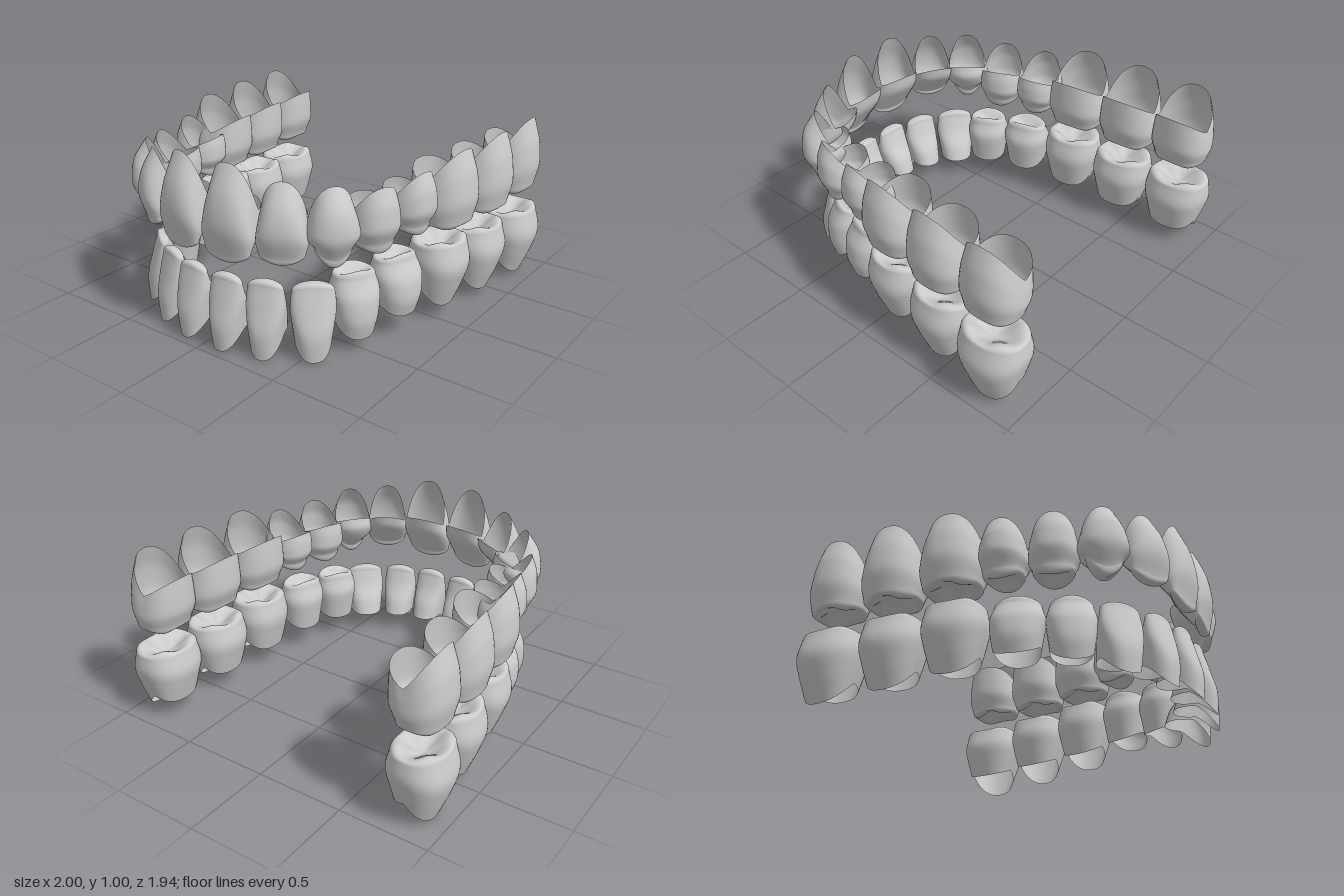
import * as THREE from 'three';
import { mergeVertices } from 'three/addons/utils/BufferGeometryUtils.js';

const SEG = 48, WALL = 16, CAP = 12;

// Crown kinds. rows run from rim to biting edge: [half width, outer reach, inner reach] as factors.
// round: edge rounding, cusp: cusp height, n: cusp count, fossa: central dip, point: corner lift, rise: total cap height
const KINDS = {
  upperIncisor: { rows: [[.86, .32, 1], [.96, .85, .85], [1, 1, .35], [.9, .72, -.2]],
    round: .035, cusp: 0, n: 2, fossa: 0, point: .025, rise: .035, p: .86 },
  upperCanine: { rows: [[.82, .35, .92], [.96, .9, 1], [1, 1, .7], [.72, .6, .1]],
    round: .05, cusp: 0, n: 2, fossa: 0, point: .06, rise: .05, p: .92 },
  upperPremolar: { rows: [[.9, .7, .92], [.98, .95, 1], [1, 1, 1], [.84, .72, .72]],
    round: .06, cusp: .014, n: 2, fossa: .06, point: .01, rise: .055, p: .9 },
  upperMolar: { rows: [[.9, .68, .97], [.97, .92, 1], [1, 1, 1], [.9, .85, .78]],
    round: .05, cusp: .011, n: 4, fossa: .08, point: 0, rise: .04, p: .88 },
  lowerIncisor: { rows: [[.84, .92, 1], [.93, .97, .75], [1, .75, .3], [.92, .48, .02]],
    round: .03, cusp: 0, n: 2, fossa: 0, point: .012, rise: .03, p: .86 },
  lowerPremolar: { rows: [[.84, .8, .78], [.93, 1, .9], [1, .95, 1], [.87, .58, .78]],
    round: .05, cusp: .012, n: 2, fossa: .06, point: 0, rise: .045, p: .88 },
  lowerMolar: { rows: [[.76, .5, .72], [.9, .8, .88], [1, 1, 1], [.94, .84, .86]],
    round: .045, cusp: .011, n: 4, fossa: .08, point: 0, rise: .036, p: .86 },
};

// [name, kind, x, z, yaw in degrees, width, depth, tip y, rim y outer, rim y inner, rim y between teeth]
const UPPER = [
  ['CentralIncisor', 'upperIncisor', .148, .855, 7, .29, .23, .5, 1, .8, .76],
  ['LateralIncisor', 'upperIncisor', .4, .78, 30, .255, .25, .53, .94, .79, .74],
  ['Canine', 'upperCanine', .585, .645, 50, .265, .27, .51, .92, .78, .74],
  ['FirstPremolar', 'upperPremolar', .665, .42, 68, .26, .28, .53, .88, .79, .74],
  ['SecondPremolar', 'upperPremolar', .715, .165, 80, .26, .29, .55, .89, .8, .75],
  ['FirstMolar', 'upperMolar', .775, -.095, 84, .35, .335, .53, .95, .85, .77],
  ['SecondMolar', 'upperMolar', .81, -.435, 87, .35, .33, .52, .96, .85, .77],
  ['ThirdMolar', 'upperMolar', .825, -.775, 90, .34, .31, .53, .96, .85, .77],
];
const LOWER = [
  ['CentralIncisor', 'lowerIncisor', .11, .845, 4, .2, .25, .41, .01, .12, .12],
  ['LateralIncisor', 'lowerIncisor', .305, .79, 18, .205, .25, .41, .005, .12, .12],
  ['Canine', 'lowerIncisor', .495, .675, 40, .23, .26, .41, .01, .12, .12],
  ['FirstPremolar', 'lowerPremolar', .61, .485, 60, .255, .25, .44, .08, .13, .16],
  ['SecondPremolar', 'lowerPremolar', .69, .23, 75, .28, .26, .46, .13, .14, .19],
  ['FirstMolar', 'lowerMolar', .765, -.08, 83, .34, .31, .46, .07, .12, .17],
  ['SecondMolar', 'lowerMolar', .8, -.425, 86, .35, .32, .44, .04, .11, .15],
  ['ThirdMolar', 'lowerMolar', .835, -.785, 90, .37, .33, .43, .02, .1, .14],
];

const spow = (v, p) => Math.sign(v) * Math.abs(v) ** p;

// Hollow crown: wall rings from the scalloped open rim, then shrinking rings over the biting surface
function crownGeometry(k, width, depth, tip, rimOut, rimIn, rimSide, dir) {
  const profile = new THREE.CatmullRomCurve3(k.rows.map(r => new THREE.Vector3(...r)));
  const pos = [], index = [];
  const rows = WALL + CAP;
  for (let j = 0; j <= rows; j++) {
    const u = Math.min(j / WALL, 1);
    const f = profile.getPoint(u);
    const phi = Math.max(0, j - WALL) / CAP * Math.PI / 2;
    const s = j === rows ? 0 : Math.cos(phi) ** .8;
    const mid = (f.y - f.z) / 2, half = (f.y + f.z) / 2;
    for (let i = 0; i < SEG; i++) {
      const a = i / SEG * Math.PI * 2, c = Math.cos(a), sn = Math.sin(a);
      const rim = rimSide + ((sn > 0 ? rimOut : rimIn) - rimSide) * Math.abs(sn) ** 1.05;
      const surface = k.round * Math.sqrt(1 - s ** 4) - k.fossa * (1 - s * s) ** 2
        - 4 * k.cusp * s * s * (1 - s * s) * Math.cos(k.n * a) - k.point * c * c * s;
      const edge = tip + dir * (surface - k.rise);
      pos.push(width / 2 * f.x * s * spow(c, k.p),
        rim + (edge - rim) * u,
        depth / 2 * (mid + half * s * spow(sn, k.p)));
      if (j < rows) {
        const n = (i + 1) % SEG;
        const p = j * SEG + i, q = j * SEG + n, r = p + SEG, t = q + SEG;
        if (dir > 0) index.push(p, r, q, q, r, t);
        else index.push(p, q, r, q, t, r);
      }
    }
  }
  let geo = new THREE.BufferGeometry();
  geo.setAttribute('position', new THREE.Float32BufferAttribute(pos, 3));
  geo.setIndex(index);
  geo = mergeVertices(geo, 1e-5);
  geo.computeVertexNormals();
  return geo;
}

// One arch of teeth, mirrored left and right
function buildArch(name, teeth, dir, material) {
  const arch = new THREE.Group();
  arch.name = name + 'Arch';
  for (const [tooth, kind, x, z, yaw, ...size] of teeth) {
    const geo = crownGeometry(KINDS[kind], ...size, dir);
    for (const side of [1, -1]) {
      const mesh = new THREE.Mesh(geo, material);
      mesh.name = name + (side > 0 ? 'Left' : 'Right') + tooth;
      mesh.position.set(side * x, 0, z);
      mesh.rotation.y = side * THREE.MathUtils.degToRad(yaw);
      arch.add(mesh);
    }
  }
  return arch;
}

export function createModel() {
  const material = new THREE.MeshStandardMaterial({ color: 0xcccccc, side: THREE.DoubleSide });
  const model = new THREE.Group();
  model.name = 'teeth';
  model.add(buildArch('upper', UPPER, -1, material), buildArch('lower', LOWER, 1, material));
  return model;
}
